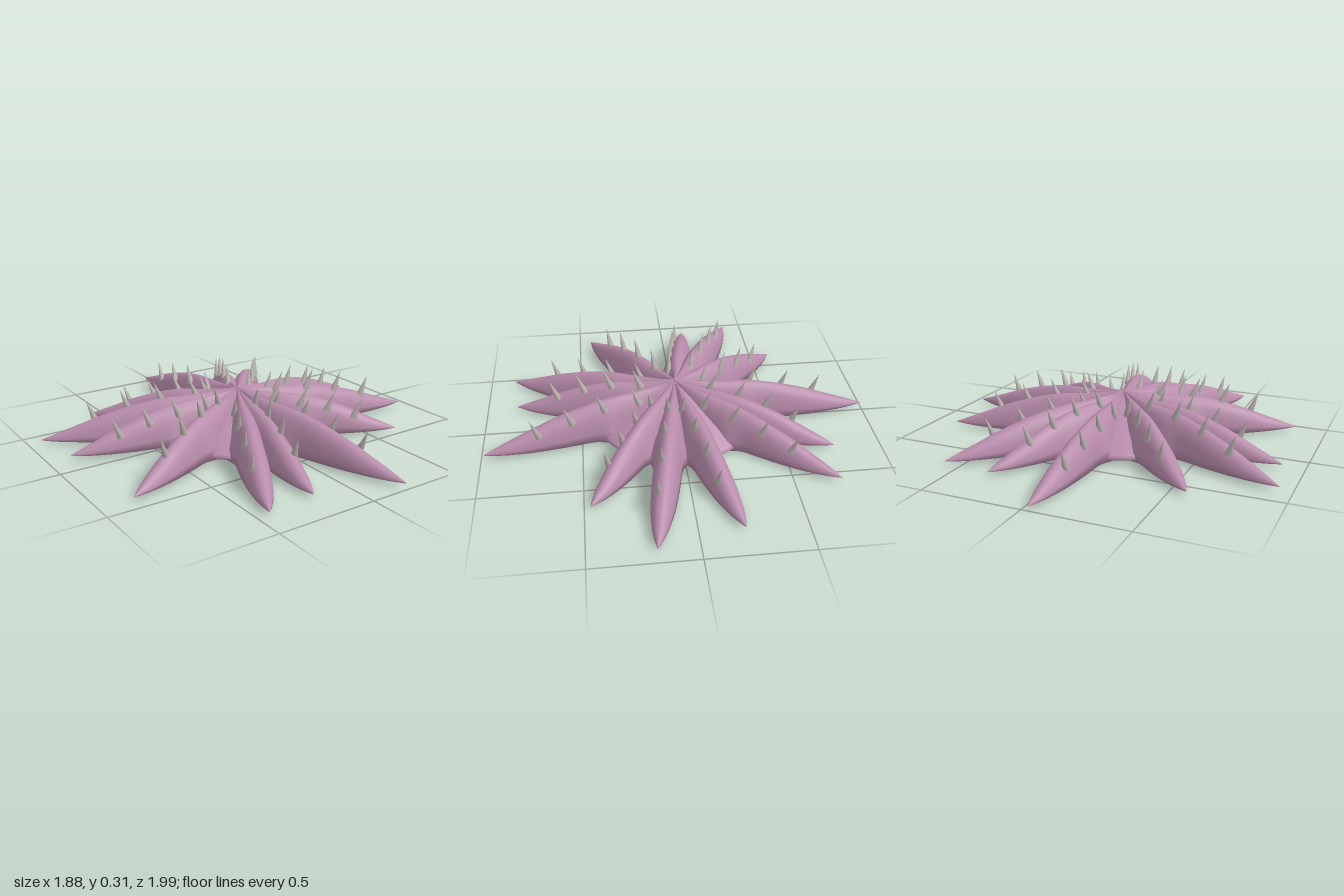
import * as THREE from 'three';

const CX = -0.035, CZ = 0.01; // hub of the body
// per arm: tip x, tip z, sideways offset of its spine row
const ARMS = [
  [-0.035, -1.0, -0.042], [0.315, -0.755, -0.02], [0.57, -0.725, 0.045], [0.85, -0.21, 0.033],
  [0.94, 0.19, 0.02], [0.64, 0.47, 0.045], [0.205, 0.985, -0.04], [-0.2, 0.84, -0.02],
  [-0.45, 0.865, 0.045], [-0.845, 0.435, 0], [-0.895, -0.125, -0.045], [-0.94, -0.39, 0.025],
  [-0.585, -0.6, 0.042],
];
// profiles along an arm: [fraction of length, value]
const RIDGE = [[0, 0.25], [0.06, 0.236], [0.2, 0.222], [0.42, 0.205], [0.65, 0.15], [0.85, 0.08], [1, 0.027]];
const WIDTH = [[0, 0.012], [0.1, 0.042], [0.2, 0.066], [0.33, 0.077], [0.45, 0.07], [0.6, 0.067], [0.75, 0.057], [0.87, 0.039], [0.94, 0.022], [1, 0.001]];

// smooth interpolation through profile points
function sample(points, t) {
  let k = 0;
  while (k < points.length - 2 && t > points[k + 1][0]) k++;
  const slope = (i) => {
    const a = points[Math.max(i - 1, 0)], b = points[Math.min(i + 1, points.length - 1)];
    return (b[1] - a[1]) / (b[0] - a[0]);
  };
  const [x0, y0] = points[k], [x1, y1] = points[k + 1];
  const h = x1 - x0, u = (t - x0) / h, u2 = u * u, u3 = u2 * u;
  return y0 * (2 * u3 - 3 * u2 + 1) + slope(k) * h * (u3 - 2 * u2 + u)
    + y1 * (3 * u2 - 2 * u3) + slope(k + 1) * h * (u3 - u2);
}

// arm section: ridge height, underside height, half width
function section(t) {
  return { top: sample(RIDGE, t), rim: 0.003 + 0.021 * t, w: sample(WIDTH, t) };
}

// domed arm with a flat underside, shaded smoothly around the rim
function armGeometry(dir, side, length) {
  const rows = 36, cols = 12, ring = cols + 2, pos = [], index = [];
  for (let i = 0; i <= rows; i++) {
    const t = i / rows, s = section(t);
    // webbed flare where the arm leaves the disc
    const flare = 0.4 * Math.exp(-(((t * length - 0.37) / 0.05) ** 2));
    for (let j = 0; j < ring; j++) {
      const a = (j / cols) * Math.PI, sn = Math.sin(a);
      const under = j > cols; // single row along the middle of the underside
      const x = under ? 0 : s.w * Math.cos(a) * (1 + flare * (1 - sn) ** 2);
      const y = under ? s.rim : s.rim + sn * (s.top - s.rim);
      pos.push(CX + dir.x * t * length + side.x * x, y, CZ + dir.z * t * length + side.z * x);
      if (i < rows) {
        const p = i * ring + j, q = i * ring + (j + 1) % ring;
        index.push(p, p + ring, q, q, p + ring, q + ring);
      }
    }
  }
  const g = new THREE.BufferGeometry();
  g.setAttribute('position', new THREE.Float32BufferAttribute(pos, 3));
  g.setIndex(index);
  g.computeVertexNormals();
  return g;
}

export function createModel() {
  const model = new THREE.Group();
  model.name = 'seaStar';
  const skin = new THREE.MeshStandardMaterial({ color: 0xb88cab });
  const spineMaterial = new THREE.MeshStandardMaterial({ color: 0xb4aeaa });

  // central disc filling the webs between arms
  const profile = [[0, 0.009], [0.2, 0.013], [0.405, 0.018], [0.415, 0.027],
    [0.405, 0.042], [0.37, 0.065], [0.3, 0.105], [0.2, 0.155], [0.1, 0.198], [0, 0.235]];
  const disc = new THREE.Mesh(new THREE.LatheGeometry(profile.map(([x, y]) => new THREE.Vector2(x, y)), 52), skin);
  disc.name = 'centralDisc';
  disc.position.set(CX, 0, CZ);
  model.add(disc);

  const spineGeometry = new THREE.ConeGeometry(0.019, 0.115, 8);
  spineGeometry.translate(0, 0.045, 0);
  const up = new THREE.Vector3(0, 1, 0);

  ARMS.forEach(([tx, tz, offset]) => {
    const dir = new THREE.Vector3(tx - CX, 0, tz - CZ);
    const length = dir.length();
    dir.normalize();
    const side = new THREE.Vector3(-dir.z, 0, dir.x);
    const group = new THREE.Group();
    group.name = 'armWithSpines';
    const arm = new THREE.Mesh(armGeometry(dir, side, length), skin);
    arm.name = 'arm';
    group.add(arm);

    // row of spines leaning outward
    const lean = up.clone().addScaledVector(dir, 0.4).normalize();
    for (const t of [0.21, 0.39, 0.56, 0.73]) {
      const s = section(t);
      const o = THREE.MathUtils.clamp(offset, -0.6 * s.w, 0.6 * s.w);
      const y = s.rim + (s.top - s.rim) * Math.sqrt(1 - (o / s.w) ** 2);
      const spine = new THREE.Mesh(spineGeometry, spineMaterial);
      spine.name = 'spine';
      spine.position.set(CX, y, CZ).addScaledVector(dir, t * length).addScaledVector(side, o);
      spine.quaternion.setFromUnitVectors(up, lean);
      group.add(spine);
    }
    model.add(group);
  });
  return model;
}
